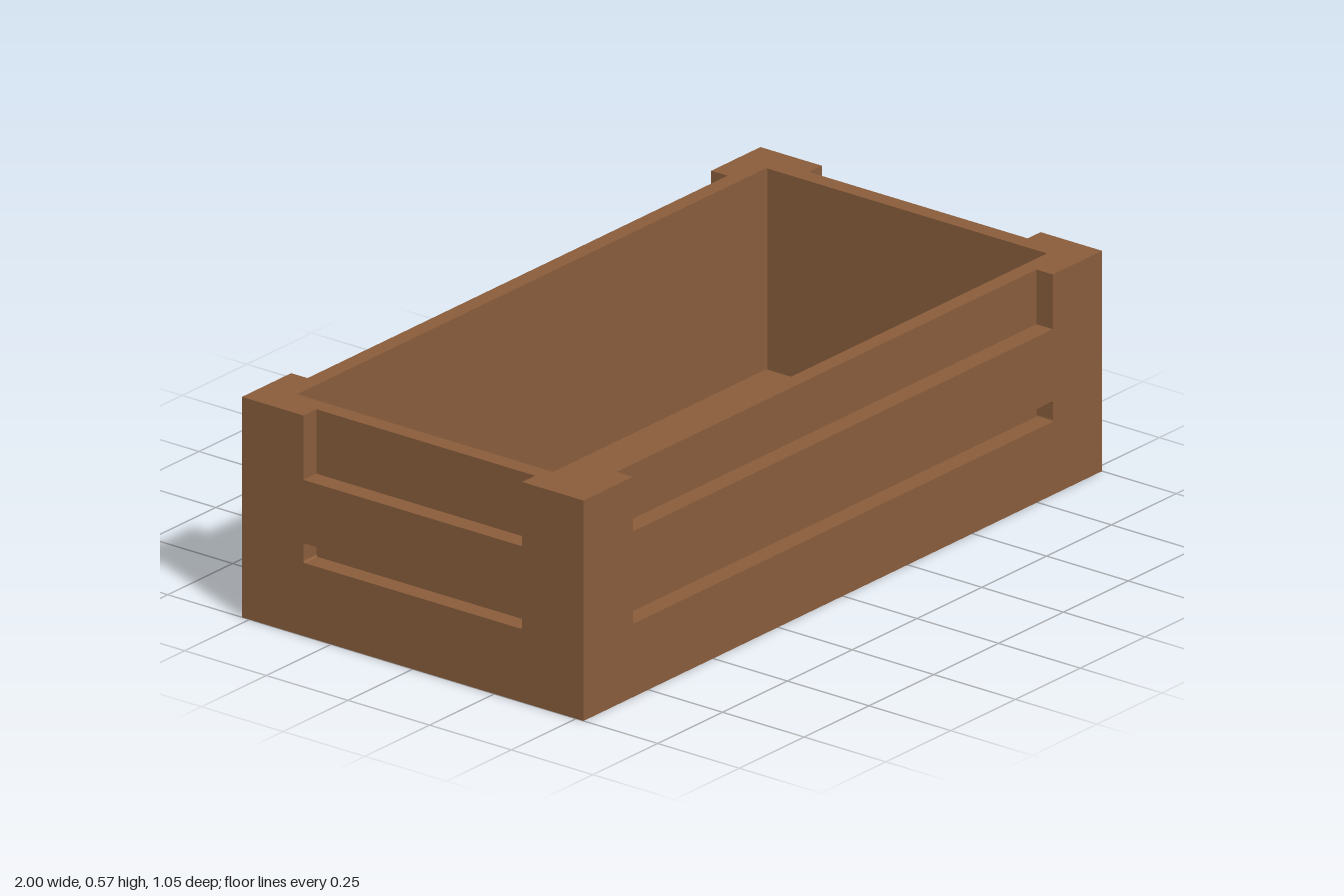
import * as THREE from 'three';

const W = 2, D = 1.046, H = 0.572;      // outer size
const PANEL = 0.05;                     // depth of the recesses
const CAVITY_X = 0.905, CAVITY_Z = 0.43;
const FLOOR = 0.05;

// Rounded rectangle outline
function roundedRect(path, x0, y0, x1, y1, r) {
  path.absarc(x1 - r, y0 + r, r, -Math.PI / 2, 0);
  path.absarc(x1 - r, y1 - r, r, 0, Math.PI / 2);
  path.absarc(x0 + r, y1 - r, r, Math.PI / 2, Math.PI);
  path.absarc(x0 + r, y0 + r, r, Math.PI, Math.PI * 1.5);
  path.closePath();
  return path;
}

// Outer panel with a notch in its top edge and a narrow slot, outside at z = 0
function panelGeometry(halfWidth, cutHalf, notchY, slotTop) {
  const shape = new THREE.Shape([
    [-halfWidth, 0], [halfWidth, 0], [halfWidth, H], [cutHalf, H],
    [cutHalf, notchY], [-cutHalf, notchY], [-cutHalf, H], [-halfWidth, H],
  ].map(([x, y]) => new THREE.Vector2(x, y)));
  shape.holes.push(roundedRect(new THREE.Path(), -cutHalf, 0.19, cutHalf, slotTop, 0.006));
  return new THREE.ExtrudeGeometry(shape, { depth: PANEL, bevelEnabled: false, curveSegments: 3 })
    .translate(0, 0, -PANEL);
}

export function createModel() {
  const group = new THREE.Group();
  const wood = new THREE.MeshStandardMaterial({ color: 0x8b5e3c });
  wood.name = 'brown wood';

  const add = (name, geometry) => {
    const mesh = new THREE.Mesh(geometry, wood);
    mesh.name = name;
    group.add(mesh);
    return mesh;
  };

  // Inner walls around the cavity
  const ix = W / 2 - PANEL, iz = D / 2 - PANEL;
  const ring = new THREE.Shape([
    new THREE.Vector2(-ix, -iz), new THREE.Vector2(ix, -iz),
    new THREE.Vector2(ix, iz), new THREE.Vector2(-ix, iz),
  ]);
  ring.holes.push(roundedRect(new THREE.Path(), -CAVITY_X, -CAVITY_Z, CAVITY_X, CAVITY_Z, 0.006));
  add('innerWalls', new THREE.ExtrudeGeometry(ring, { depth: H, bevelEnabled: false, curveSegments: 3 })
    .rotateX(-Math.PI / 2));

  // Floor
  add('floor', new THREE.BoxGeometry(CAVITY_X * 2, FLOOR, CAVITY_Z * 2).translate(0, FLOOR / 2, 0));

  // Long panels at the front and back, short panels between them
  const longPanel = panelGeometry(W / 2, 0.81, 0.43, 0.243);
  const shortPanel = panelGeometry(iz, 0.335, 0.405, 0.241);
  [
    ['frontPanel', longPanel, 0, D / 2],
    ['leftPanel', shortPanel, Math.PI / 2, W / 2],
    ['backPanel', longPanel, Math.PI, D / 2],
    ['rightPanel', shortPanel, -Math.PI / 2, W / 2],
  ].forEach(([name, geometry, angle, distance]) => {
    const mesh = add(name, geometry);
    mesh.rotation.y = angle;
    mesh.position.set(Math.sin(angle) * distance, 0, Math.cos(angle) * distance);
  });

  return group;
}
